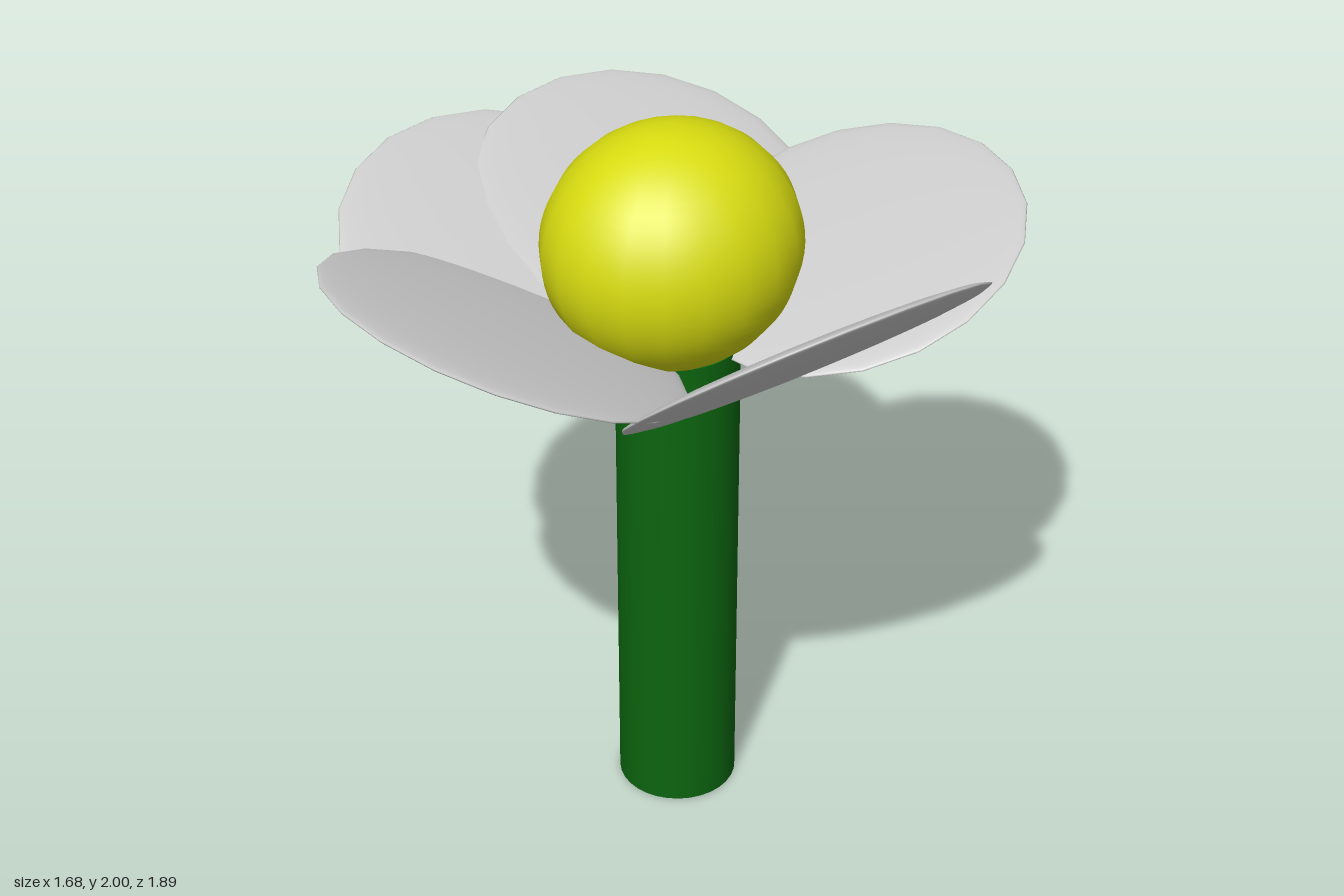
import * as THREE from 'three';

const GREEN = 0x0c640f, YELLOW = 0xd8dc10, GREY = 0xcccccc;

function part(name, geometry, color, position) {
  const mesh = new THREE.Mesh(geometry, new THREE.MeshStandardMaterial({ color }));
  mesh.name = name;
  mesh.position.set(...position);
  return mesh;
}

export function createModel() {
  const flower = new THREE.Group();
  flower.name = 'flower';

  // Straight stem, slightly behind the centre
  flower.add(part('stem', new THREE.CylinderGeometry(0.163, 0.163, 1.4, 32), GREEN, [0, 0.7, -0.02]));

  // Slightly oval ball in the middle of the petals
  const ball = new THREE.SphereGeometry(1, 20, 32);
  const heart = part('flowerCentre', ball, YELLOW, [0.003, 1.68, 0]);
  heart.scale.set(0.315, 0.32, 0.345);
  flower.add(heart);

  // Petals: flattened balls tilted upwards and outwards
  const petals = [
    // name, position, tilt [x, y, z], half sizes
    ['petalLeft', [0.48, 1.555, -0.06], [0, 0, 0.705], [0.472, 0.028, 0.49]],
    ['petalFront', [0.005, 1.59, 0.5], [-0.43, 0, -0.03], [0.475, 0.028, 0.485]],
    ['petalBack', [0.085, 1.555, -0.51], [0.37, 0, -0.03], [0.467, 0.028, 0.472]],
    ['petalBackRight', [-0.4, 1.567, -0.215], [0, 0, -0.44], [0.475, 0.028, 0.49]],
    ['petalFrontRight', [-0.41, 1.553, 0.19], [0, 0, -0.44], [0.475, 0.028, 0.485]],
  ];
  for (const [name, position, tilt, size] of petals) {
    const petal = part(name, ball, GREY, position);
    petal.rotation.set(...tilt);
    petal.scale.set(...size);
    flower.add(petal);
  }
  return flower;
}
